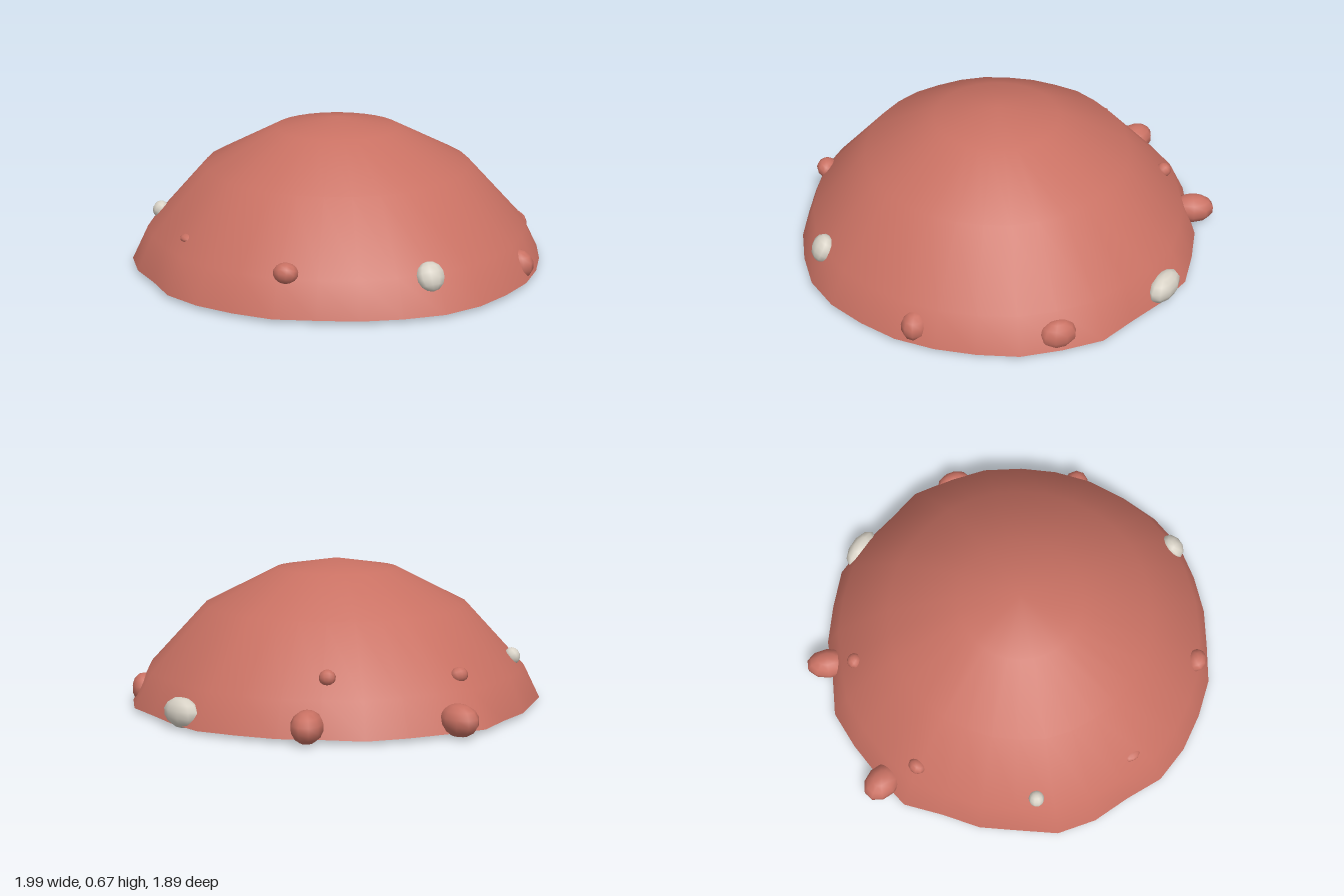
import * as THREE from 'three';

const CX = 0.05; // dome axis
const BASE = 0.015;
const SEG = 32;

// Uneven rim radii, going round from +x towards +z
const RIM = [
  0.95, 0.95, 0.93, 0.92, 0.91, 0.93, 0.93, 0.94, 0.945, 0.918, 0.94, 0.95, 0.92, 0.925, 0.92, 0.965,
  0.94, 0.94, 0.955, 0.92, 0.935, 0.937, 0.96, 0.94, 0.93, 0.962, 0.95, 0.954, 0.94, 0.938, 0.942, 0.94,
];
// Rings from top to bottom: height, mean radius, share of rim unevenness
const RINGS = [
  [0.62, 0.285, 0],
  [0.455, 0.61, 0.2],
  [0.17, 0.87, 0.5],
  [BASE, 0.94, 1],
];

function ringPoint(j, radius, share) {
  const a = (j % SEG) / SEG * Math.PI * 2;
  const r = radius + (RIM[j % SEG] - 0.94) * share;
  return [CX + r * Math.cos(a), r * Math.sin(a)];
}

function domeGeometry() {
  const pos = [CX, 0.665, 0];
  const index = [];
  RINGS.forEach(([y, r, share], i) => {
    for (let j = 0; j < SEG; j++) {
      const [x, z] = ringPoint(j, r, share);
      pos.push(x, y, z);
      const k = (j + 1) % SEG;
      const low = 1 + i * SEG;
      const high = low - SEG;
      if (i === 0) index.push(0, low + k, low + j);
      else index.push(high + j, high + k, low + j, high + k, low + k, low + j);
    }
  });
  const g = new THREE.BufferGeometry();
  g.setAttribute('position', new THREE.Float32BufferAttribute(pos, 3));
  g.setIndex(index);
  g.computeVertexNormals();
  return g;
}

export function createModel() {
  const model = new THREE.Group();
  model.name = 'mound';
  const clay = new THREE.MeshStandardMaterial({ color: 0xc97163 });
  clay.name = 'red clay';
  const pale = new THREE.MeshStandardMaterial({ color: 0xd8d2c6 });
  pale.name = 'pale stone';

  function add(name, geometry, material) {
    const m = new THREE.Mesh(geometry, material);
    m.name = name;
    model.add(m);
    return m;
  }

  // Mound and its flat underside
  add('dome', domeGeometry(), clay);
  const outline = new THREE.Shape(
    RIM.map((_, j) => new THREE.Vector2(...ringPoint(j, 0.94, 1))));
  add('underside', new THREE.ShapeGeometry(outline).rotateX(Math.PI / 2), clay).position.y = BASE;

  // Half-sunk pebbles: x, y, z, then half-sizes along the rim, up and outward, then backward tilt
  const stone = new THREE.SphereGeometry(1, 10, 7);
  const pebbles = [
    ['rimPebble', clay, -0.9, 0.071, 0.05, 0.075, 0.07, 0.1, 0],
    ['rimPebble', clay, -0.69, 0.07, -0.56, 0.07, 0.07, 0.105, 0],
    ['rimPebble', clay, 0.4, 0.07, -0.83, 0.085, 0.07, 0.055, 0],
    ['rimPebble', clay, 0.83, 0.071, -0.395, 0.062, 0.07, 0.075, 0],
    ['palePebble', pale, -0.175, 0.068, -0.89, 0.105, 0.067, 0.055, 0],
    ['palePebble', pale, 0.9, 0.165, 0.2, 0.064, 0.064, 0.045, -0.5],
    ['palePebble', pale, -0.47, 0.225, 0.635, 0.036, 0.04, 0.036, -0.5],
    ['slopePebble', clay, 0.545, 0.19, 0.685, 0.055, 0.045, 0.05, -0.4],
    ['slopePebble', clay, -0.01, 0.225, 0.79, 0.045, 0.02, 0.035, 0],
    ['slopePebble', clay, -0.755, 0.23, 0.145, 0.042, 0.035, 0.035, -0.5],
    ['slopePebble', clay, -0.62, 0.25, -0.425, 0.036, 0.035, 0.035, -0.5],
  ];
  for (const [name, material, x, y, z, along, up, out, tilt] of pebbles) {
    const p = add(name, stone, material);
    p.position.set(x, y, z);
    p.scale.set(along, up, out);
    p.rotation.set(tilt, Math.atan2(x - CX, z), 0, 'YXZ');
  }
  return model;
}
